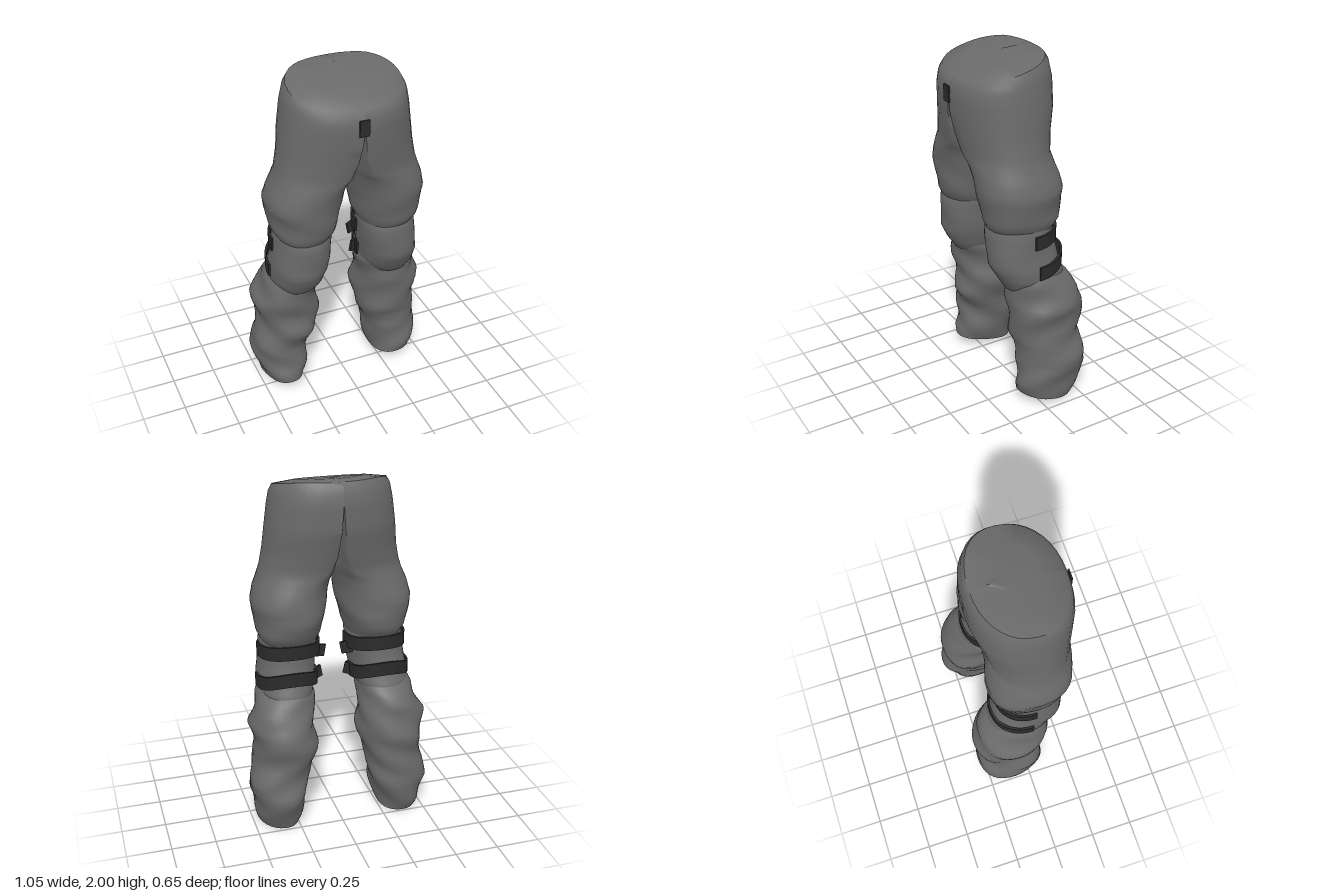
import * as THREE from 'three';
import { toCreasedNormals } from 'three/addons/utils/BufferGeometryUtils.js';

const SIDES = 36;
const SHIFT = -0.008;
const { clamp, lerp } = THREE.MathUtils;

// Skin closed rings of points, first to last, and cap both ends.
function loft(name, rings, material, crease) {
  const n = rings[0].length, pos = [], index = [];
  rings.forEach(r => r.forEach(p => pos.push(p.x, p.y, p.z)));
  for (let i = 0; i < rings.length - 1; i++) {
    for (let j = 0; j < n; j++) {
      const k = (j + 1) % n;
      const a = i * n + j, b = i * n + k, c = a + n, d = b + n;
      index.push(a, b, c, b, d, c);
    }
  }
  [0, rings.length - 1].forEach((r, end) => {
    const mid = new THREE.Vector3();
    rings[r].forEach(p => mid.addScaledVector(p, 1 / n));
    const o = pos.length / 3;
    pos.push(mid.x, mid.y, mid.z);
    for (let j = 0; j < n; j++) {
      const a = r * n + j, b = r * n + (j + 1) % n;
      if (end) index.push(o, a, b); else index.push(o, b, a);
    }
  });
  const g = new THREE.BufferGeometry();
  g.setAttribute('position', new THREE.Float32BufferAttribute(pos, 3));
  g.setIndex(index);
  const mesh = new THREE.Mesh(toCreasedNormals(g, crease), material);
  mesh.name = name;
  return mesh;
}

// Split long gaps between rows so that folds can form.
function refine(rows, step = 0.03) {
  const out = [];
  for (let i = 0; i < rows.length - 1; i++) {
    const count = Math.max(1, Math.round((rows[i][0] - rows[i + 1][0]) / step));
    for (let s = 0; s < count; s++) {
      out.push(rows[i].map((v, k) => lerp(v, rows[i + 1][k], s / count)));
    }
  }
  out.push(rows[rows.length - 1]);
  return out;
}

const round = (v, e) => Math.sign(v) * Math.abs(v) ** (2 / e);

// Rounded cloth tube from rows of [y, xIn, xOut, zFront, zBack, xWidest], top to bottom.
// With xWidest equal to xIn the section is a half oval with a flat inner side.
function cloth(name, rows, material, { fold, seed, side, tilt = () => 0 }) {
  const rings = refine(rows).map(([y, x0, x1, zf, zb, xm = (x0 + x1) / 2]) => {
    const cz = (zf + zb) / 2, rz = (zf - zb) / 2;
    const amount = fold * clamp((1.5 - y) / 0.25, 0, 1);
    const ring = [];
    for (let j = 0; j < SIDES; j++) {
      const t = j / SIDES * Math.PI * 2, c = Math.cos(t);
      const f = amount * (0.6 * Math.sin(y * 31 + 3 * t + seed) + 0.6 * Math.sin(y * 17 - 2 * t + 2 * seed));
      const x = xm + ((c > 0 ? x1 - xm : xm - x0) + f) * round(c, 2.25);
      const dz = (rz + f) * round(Math.sin(t), 2.25);
      ring.push(new THREE.Vector3(side * x + SHIFT, clamp(y + tilt(y) * dz, 0, 2), cz + dz));
    }
    return side < 0 ? ring.reverse() : ring;
  });
  return loft(name, rings, material, 0.9);
}

// Flat band hugging the back half of a knee, from the outer to the inner side.
function strap(name, { x0, x1, cz, rz, ySide, yBack }, side, material) {
  const rings = [], half = 0.039, thick = 0.012;
  const cx = (x0 + x1) / 2, rx = (x1 - x0) / 2;
  for (let i = 0; i <= 24; i++) {
    const t = -i / 24 * Math.PI, c = Math.cos(t), s = Math.sin(t);
    const y = lerp(ySide, yBack, s * s);
    const at = (h, d) => new THREE.Vector3(
      side * (cx + (rx + d) * round(c, 2.3)) + SHIFT, y + h, cz + (rz + d) * round(s, 2.3));
    const ring = [at(half, 0), at(half, thick), at(-half, thick), at(-half, 0)];
    rings.push(side < 0 ? ring.reverse() : ring);
  }
  return loft(name, rings, material, 0.6);
}

// Half of the seat and one thigh, meeting its mirror image along the centre seam
const THIGH = [
  [1.975, 0, 0.2, 0.18, -0.1, 0], [1.955, 0, 0.308, 0.3, -0.18, 0],
  [1.92, 0, 0.326, 0.322, -0.2, 0], [1.85, 0, 0.34, 0.332, -0.218, 0],
  [1.72, 0, 0.358, 0.325, -0.218, 0.01], [1.6, 0, 0.372, 0.312, -0.19, 0.03],
  [1.5, 0, 0.392, 0.295, -0.167, 0.08], [1.44, 0.012, 0.41, 0.288, -0.167, 0.17],
  [1.38, 0.025, 0.435, 0.283, -0.175, 0.22], [1.31, 0.035, 0.453, 0.278, -0.187, 0.245],
  [1.22, 0.055, 0.432, 0.265, -0.19, 0.245], [1.14, 0.075, 0.425, 0.25, -0.17, 0.25],
  [1.09, 0.095, 0.4, 0.222, -0.138, 0.25],
];
const KNEE = [
  [1.16, 0.1, 0.4, 0.21, -0.12], [1.08, 0.09, 0.412, 0.235, -0.138],
  [0.98, 0.1, 0.42, 0.236, -0.145], [0.88, 0.115, 0.433, 0.23, -0.17],
  [0.8, 0.13, 0.433, 0.19, -0.2], [0.74, 0.16, 0.41, 0.15, -0.2],
  [0.7, 0.2, 0.37, 0.09, -0.17],
];
const SHIN = [
  [0.86, 0.15, 0.4, 0.15, -0.15], [0.78, 0.13, 0.45, 0.15, -0.22],
  [0.7, 0.14, 0.475, 0.135, -0.265], [0.62, 0.14, 0.512, 0.13, -0.285],
  [0.52, 0.132, 0.485, 0.118, -0.308], [0.42, 0.15, 0.48, 0.125, -0.288],
  [0.36, 0.165, 0.5, 0.1, -0.285], [0.3, 0.183, 0.523, 0.085, -0.29],
  [0.22, 0.2, 0.518, 0.09, -0.308], [0.15, 0.213, 0.5, 0.1, -0.288],
  [0.09, 0.228, 0.488, 0.11, -0.268], [0.035, 0.238, 0.472, 0.1, -0.24],
];
const STRAPS = [
  { name: 'upper', x0: 0.086, x1: 0.416, cz: 0.045, rz: 0.188, ySide: 1.04, yBack: 1.06, yFlap: 1.005, lean: 0.2 },
  { name: 'lower', x0: 0.106, x1: 0.432, cz: 0.025, rz: 0.2, ySide: 0.86, yBack: 0.915, yFlap: 0.863, lean: -0.2 },
];

export function createModel() {
  const fabric = new THREE.MeshStandardMaterial({ color: 0x6a6a6a });
  fabric.name = 'grey fabric';
  const webbing = new THREE.MeshStandardMaterial({ color: 0x2b2b2b });
  webbing.name = 'black webbing';

  const model = new THREE.Group();
  model.name = 'trousers';

  // Fly tab
  const tab = new THREE.Mesh(new THREE.BoxGeometry(0.055, 0.09, 0.009), webbing);
  tab.name = 'flyTab';
  tab.position.set(-0.015, 1.808, 0.333);
  model.add(tab);

  for (const side of [1, -1]) {
    const leg = new THREE.Group();
    leg.name = side > 0 ? 'leftLeg' : 'rightLeg';
    const seed = side > 0 ? 0.4 : 2.3;

    // Thigh with a waist that slopes down to the front, knee panel and gathered shin
    leg.add(cloth('seatAndThigh', THIGH, fabric, {
      fold: 0.005, seed, side, tilt: y => -0.23 * clamp((y - 1.6) / 0.35, 0, 1),
    }));
    leg.add(cloth('kneePanel', KNEE, fabric, { fold: 0.003, seed, side }));
    leg.add(cloth('shin', SHIN, fabric, {
      fold: 0.01, seed, side, tilt: y => 0.18 * clamp((0.29 - y) / 0.25, 0, 1),
    }));

    // Knee straps, each with a loose flap on the inner side
    for (const s of STRAPS) {
      leg.add(strap(s.name + 'Strap', s, side, webbing));
      const flap = new THREE.Mesh(new THREE.BoxGeometry(0.1, 0.07, 0.014), webbing);
      flap.name = s.name + 'StrapFlap';
      flap.position.set(side * (s.x0 + 0.008) + SHIFT, s.yFlap, -0.02);
      flap.rotation.set(0, side * 0.35, side * s.lean);
      leg.add(flap);
    }
    model.add(leg);
  }
  return model;
}
